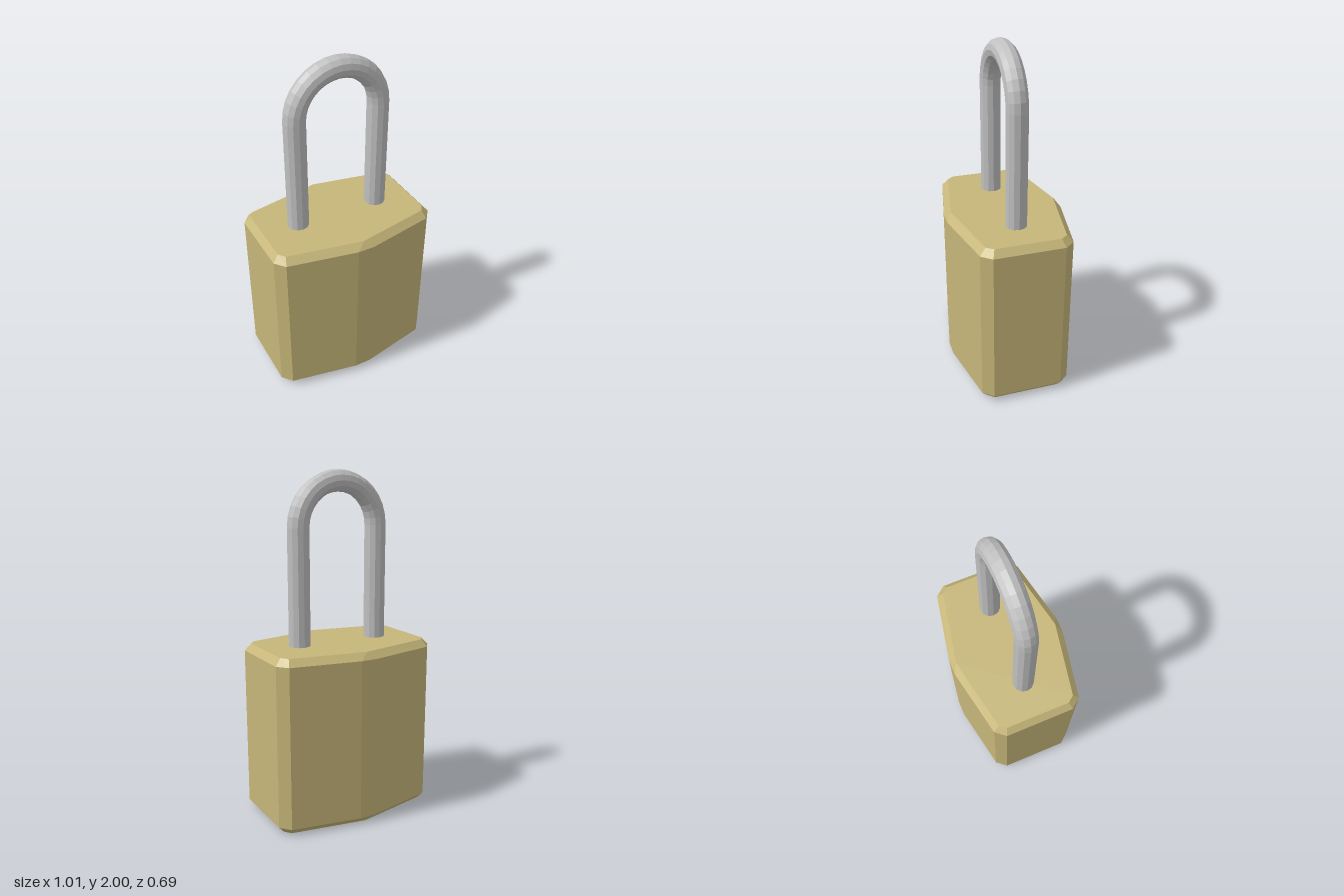
import * as THREE from 'three';

const brass = new THREE.MeshStandardMaterial({ color: 0xc6b679, flatShading: true });
brass.name = 'brass';
const steel = new THREE.MeshStandardMaterial({ color: 0xc0c0c0, flatShading: true });
steel.name = 'steel';

// Mirror one quarter of an outline [x, z] into a closed loop, going from +x towards +z
function mirrorQuarter(q) {
  const r = [...q].reverse();
  return [
    ...q,
    ...r.map(([x, z]) => [-x, z]),
    ...q.map(([x, z]) => [-x, -z]),
    ...r.map(([x, z]) => [x, -z]),
  ];
}

const outer = mirrorQuarter([[0.505, 0.205], [0.455, 0.265], [0.05, 0.345]]);
const inset = mirrorQuarter([[0.47, 0.19], [0.44, 0.23], [0, 0.315]]);
const slot = [[0.22, 0.055], [-0.22, 0.055], [-0.22, -0.055], [0.22, -0.055]];

// Walls joining stacked rings { y, loop }, facing outward when rings go upward
function loft(rings) {
  const pos = [];
  for (let k = 0; k < rings.length - 1; k++) {
    const lo = rings[k], hi = rings[k + 1], n = lo.loop.length;
    const at = (ring, i) => new THREE.Vector3(ring.loop[i % n][0], ring.y, ring.loop[i % n][1]);
    for (let i = 0; i < n; i++) {
      const a = at(lo, i), b = at(lo, i + 1), c = at(hi, i + 1), d = at(hi, i);
      for (const tri of [[a, d, c], [a, c, b]]) {
        if (new THREE.Triangle(...tri).getArea() < 1e-8) continue;
        tri.forEach((v) => pos.push(v.x, v.y, v.z));
      }
    }
  }
  const g = new THREE.BufferGeometry();
  g.setAttribute('position', new THREE.Float32BufferAttribute(pos, 3));
  g.computeVertexNormals();
  return g;
}

// Flat horizontal cap, facing up (dir 1) or down (dir -1), with an optional hole
function cap(loop, y, dir, hole) {
  const pts = loop
    .filter(([x, z], i) => i === 0 || x !== loop[i - 1][0] || z !== loop[i - 1][1])
    .map(([x, z]) => new THREE.Vector2(x, z));
  const shape = new THREE.Shape(pts);
  if (hole) shape.holes.push(new THREE.Path(hole.map(([x, z]) => new THREE.Vector2(x, z))));
  return new THREE.ShapeGeometry(shape).rotateX(-dir * Math.PI / 2).translate(0, y, 0);
}

function add(parent, name, geometry, material) {
  const mesh = new THREE.Mesh(geometry, material);
  mesh.name = name;
  parent.add(mesh);
  return mesh;
}

export function createModel() {
  const model = new THREE.Group();
  model.name = 'padlock';

  // Bevelled six-sided body
  const body = new THREE.Group();
  body.name = 'body';
  model.add(body);
  add(body, 'bodyWalls', loft([
    { y: 0, loop: inset }, { y: 0.04, loop: outer },
    { y: 0.98, loop: outer }, { y: 1.02, loop: inset },
  ]), brass);
  add(body, 'bodyTop', cap(inset, 1.02, 1), brass);
  add(body, 'bodyBottom', cap(inset, 0, -1, slot), brass);

  // Recessed key slot in the underside
  add(body, 'keySlotWalls', loft([{ y: 0.2, loop: slot }, { y: 0, loop: slot }]), brass);
  add(body, 'keySlotEnd', cap(slot, 0.2, -1), brass);

  // Shackle: half-ring arch on two straight legs
  const shackle = new THREE.Group();
  shackle.name = 'shackle';
  model.add(shackle);
  const R = 0.253, r = 0.062, archY = 1.685, legBase = 0.98;
  add(shackle, 'arch', new THREE.TorusGeometry(R, r, 12, 16, Math.PI), steel).position.y = archY;
  for (const [name, side] of [['leftLeg', 1], ['rightLeg', -1]]) {
    const leg = add(shackle, name,
      new THREE.CylinderGeometry(r, r, archY - legBase, 12, 1, true), steel);
    leg.position.set(side * R, (archY + legBase) / 2, 0);
  }
  return model;
}
